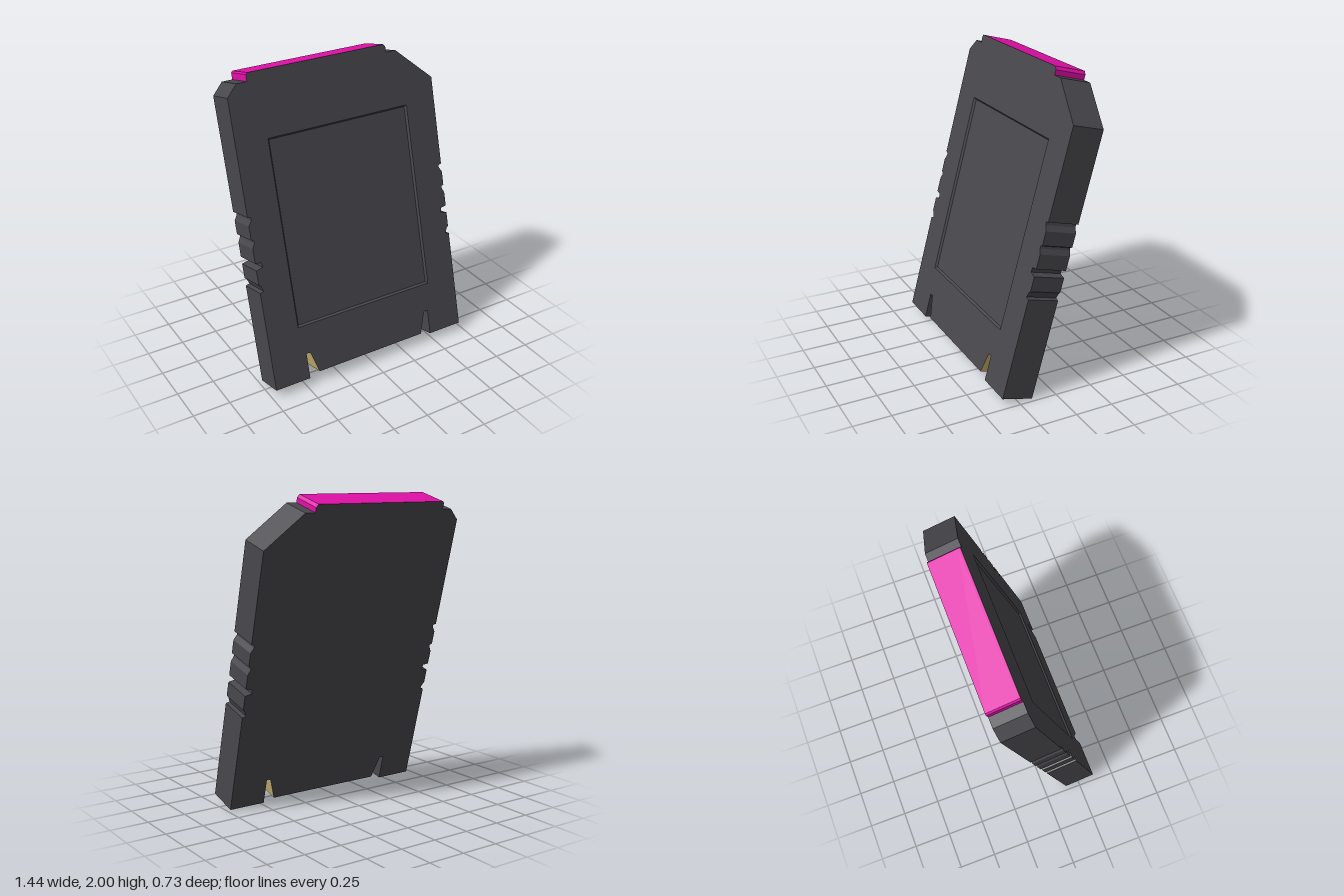
import * as THREE from 'three';

const HALF_W = 0.722, THICK = 0.212, RECESS = 0.014, TILT = Math.PI / 12;

const shell = new THREE.MeshStandardMaterial({ color: 0x48474c });
shell.name = 'charcoal shell';
const pink = new THREE.MeshStandardMaterial({ color: 0xe010a8 });
pink.name = 'magenta edge';
const gold = new THREE.MeshStandardMaterial({ color: 0xd0bb76 });
gold.name = 'gold contact';

// Side grip notches as [depth, height], listed from the bottom up
const gripNotches = [
  [[0, 0.663], [0.026, 0.67], [0.012, 0.704], [0, 0.715]],
  [[0, 0.811], [0.046, 0.822], [0.042, 0.853], [0, 0.859]],
  [[0, 0.953], [0.016, 0.985], [0.018, 1.0], [0, 1.009]],
  [[0, 1.098], [0.02, 1.13], [0.023, 1.148], [0, 1.155]],
].flat();

// Silhouette, counter-clockwise from the lower left corner
function outline() {
  const slot = [[-0.475, 0], [-0.475, 0.171], [-0.447, 0.171], [-0.4, 0.022]];
  const points = [
    [-HALF_W, 0],
    ...slot,
    ...slot.map(([x, y]) => [-x, y]).reverse(),
    [HALF_W, 0],
    ...gripNotches.map(([d, y]) => [HALF_W - d, y]),
    [HALF_W, 1.742], [0.47, 1.962],
    [0.4, 1.962], [0.4, 1.994], [0.386, 2.014],
    [-0.572, 2.014], [-0.582, 2.004], [-0.582, 1.962],
    [-0.652, 1.962], [-HALF_W, 1.889],
    ...gripNotches.map(([d, y]) => [d - HALF_W, y]).reverse(),
  ];
  return new THREE.Shape(points.map(([x, y]) => new THREE.Vector2(x, y)));
}

// Extrudes a layer and colours the walls of the top tab and contact tongue
function layer(name, shape, depth, z) {
  const geometry = new THREE.ExtrudeGeometry(shape, { depth, bevelEnabled: false });
  const walls = geometry.groups[1];
  const pos = geometry.attributes.position;
  geometry.clearGroups();
  geometry.addGroup(0, walls.start, 0);
  for (let i = walls.start; i < walls.start + walls.count; i += 3) {
    const x = (pos.getX(i) + pos.getX(i + 1) + pos.getX(i + 2)) / 3;
    const y = (pos.getY(i) + pos.getY(i + 1) + pos.getY(i + 2)) / 3;
    let material = 0;
    if (y > 1.965) material = 1;
    else if (y < 0.165 && Math.abs(x) < 0.46) material = 2;
    geometry.addGroup(i, 3, material);
  }
  const mesh = new THREE.Mesh(geometry, [shell, pink, gold]);
  mesh.name = name;
  mesh.position.z = z;
  return mesh;
}

export function createModel() {
  const model = new THREE.Group();
  model.name = 'cartridge';

  const body = new THREE.Group();
  body.name = 'tiltedBody';
  body.rotation.x = -TILT;
  body.position.set(0, Math.sin(TILT) * THICK / 2, 0.2585);
  model.add(body);

  // Main slab; its front becomes the floor of the label recess
  body.add(layer('rearShell', outline(), THICK - RECESS, -THICK / 2));

  // Front face with the label window
  const x = 0.505, low = 0.362, high = 1.6, inset = 0.011;
  const face = outline();
  face.holes.push(new THREE.Path([[-x, low], [-x, high], [x, high], [x, low]]
    .map(([a, b]) => new THREE.Vector2(a, b))));
  const front = layer('frontFace', face, RECESS, THICK / 2 - RECESS);

  // Slope the window walls inward towards the floor
  const pos = front.geometry.attributes.position;
  for (let i = 0; i < pos.count; i++) {
    const px = pos.getX(i), py = pos.getY(i);
    const onWindow = Math.abs(Math.abs(px) - x) < 1e-4
      && (Math.abs(py - low) < 1e-4 || Math.abs(py - high) < 1e-4);
    if (onWindow && pos.getZ(i) < RECESS / 2) {
      pos.setXY(i, px - Math.sign(px) * inset, py + (py < 1 ? inset : -inset));
    }
  }
  front.geometry.computeVertexNormals();
  body.add(front);

  return model;
}
